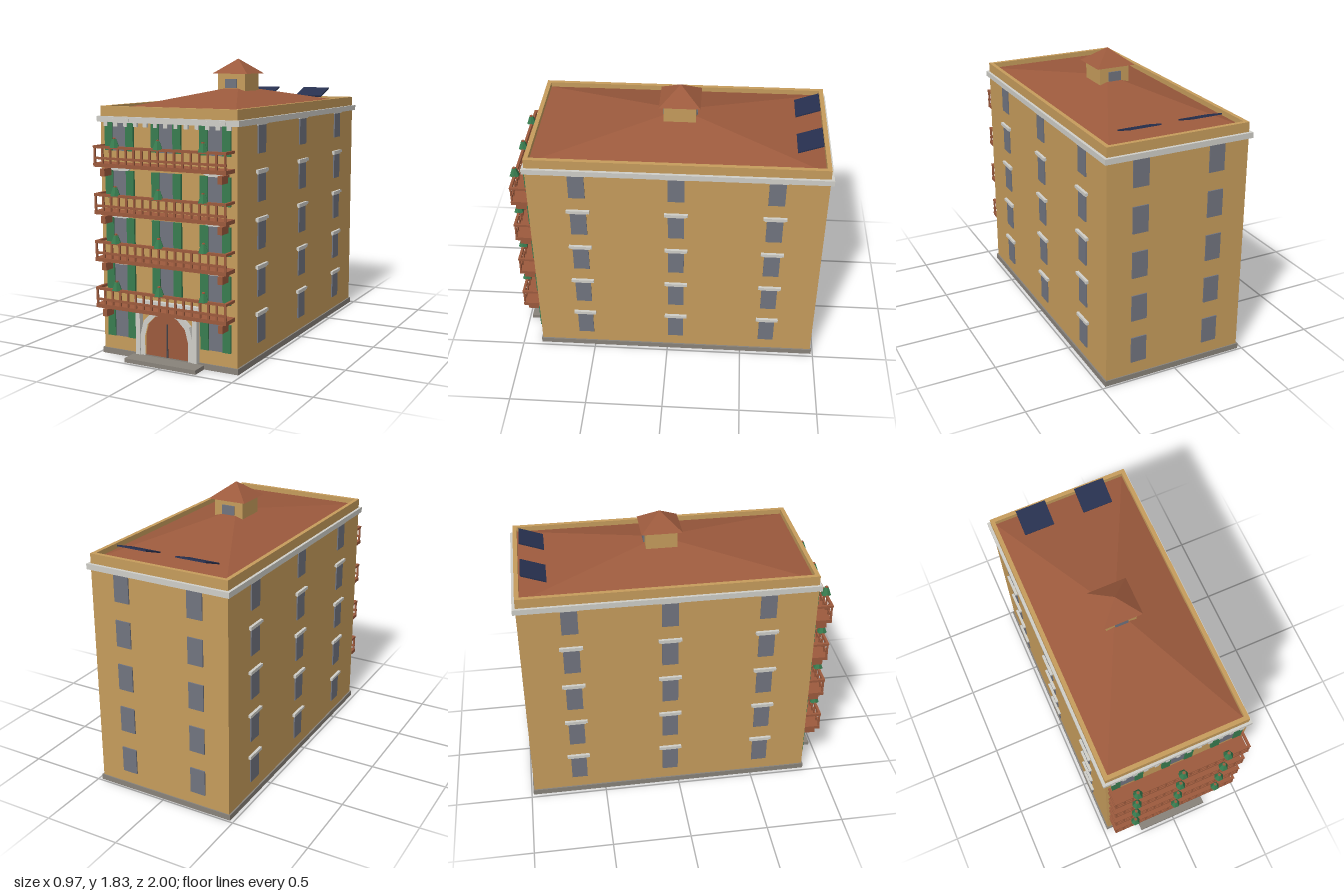
import * as THREE from 'three';

const mat = (name, color) => Object.assign(new THREE.MeshStandardMaterial({ color }), { name });

export function createModel() {
  const wall = mat('ochre wall', 0xc69c5c);
  const terracotta = mat('terracotta', 0x9c5a3d);
  const trim = mat('pale stone', 0xcfcec8);
  const glass = mat('window glass', 0x71747f);
  const green = mat('green', 0x387d50);
  const stone = mat('grey plinth', 0x88827a);
  const navy = mat('solar navy', 0x27304f);
  const dark = mat('dark seam', 0x4a4a50);

  const ZC = -0.057, HX = 0.466, HZ = 0.923;      // body centre and half sizes
  const FRONT = ZC + HZ, BACK = ZC - HZ;
  const FLOOR = 0.289, FLOORS = 5, SILL = 0.12, WIN_H = 0.17;
  const building = new THREE.Group();
  building.name = 'building';

  const add = (parent, name, geo, material, x = 0, y = 0, z = 0) => {
    const m = new THREE.Mesh(geo, material);
    m.name = name;
    m.position.set(x, y, z);
    parent.add(m);
    return m;
  };
  // box given by its bounds
  const box = (parent, name, material, x0, x1, y0, y1, z0, z1) =>
    add(parent, name, new THREE.BoxGeometry(x1 - x0, y1 - y0, z1 - z0), material,
      (x0 + x1) / 2, (y0 + y1) / 2, (z0 + z1) / 2);
  const group = (name, parent = building) => {
    const g = new THREE.Group();
    g.name = name;
    parent.add(g);
    return g;
  };
  const facet = (geo) => {
    const g = geo.toNonIndexed();
    g.computeVertexNormals();
    return g;
  };
  // four-sided pyramid standing on y = 0
  const pyramid = (hx, hz, h) => facet(new THREE.ConeGeometry(Math.SQRT2, h, 4)
    .rotateY(Math.PI / 4).scale(hx, 1, hz).translate(0, h / 2, 0));

  // main masses
  box(building, 'plinth', stone, -0.476, 0.476, 0, 0.036, BACK - 0.008, FRONT + 0.008);
  box(building, 'entranceStep', stone, -0.248, 0.248, 0, 0.026, FRONT, 0.98);
  box(building, 'body', wall, -HX, HX, 0.036, 1.49, BACK, FRONT);
  box(building, 'cornice', trim, -0.484, 0.484, 1.45, 1.485, -1.0, FRONT + 0.016);

  // parapet ring
  const rect = (C, hx, hz) => new C([[-hx, -hz], [hx, -hz], [hx, hz], [-hx, hz]]
    .map(([x, y]) => new THREE.Vector2(x, y)));
  const ring = rect(THREE.Shape, HX, HZ);
  ring.holes.push(rect(THREE.Path, 0.44, 0.896));
  add(building, 'parapet', new THREE.ExtrudeGeometry(ring, { depth: 0.062, bevelEnabled: false })
    .rotateX(-Math.PI / 2), wall, 0, 1.484, ZC);

  // roof and lantern
  add(building, 'roof', pyramid(0.441, 0.897, 0.133), terracotta, 0, 1.513, ZC);
  const lantern = group('lantern');
  box(lantern, 'lanternWalls', wall, -0.1, 0.1, 1.55, 1.732, ZC - 0.1, ZC + 0.1);
  for (const s of [-1, 1])
    add(lantern, 'lanternWindow', new THREE.BoxGeometry(0.084, 0.06, 0.009), glass, 0, 1.664, ZC + s * 0.104);
  add(lantern, 'lanternRoof', pyramid(0.128, 0.128, 0.098), terracotta, 0, 1.728, ZC);

  // tilted solar panels
  for (const x of [-0.2, 0.2])
    add(building, 'solarPanel', new THREE.BoxGeometry(0.198, 0.009, 0.162), navy, x, 1.581, -0.86).rotation.x = 0.346;

  // windows on every floor: a plate facing +z, turned to its wall
  const lintel = (parent) => {
    add(parent, 'lintelTop', new THREE.BoxGeometry(0.146, 0.018, 0.036), trim, 0, 0.185, 0);
    add(parent, 'lintelBase', new THREE.BoxGeometry(0.124, 0.01, 0.024), trim, 0, 0.172, 0);
  };
  const addWindow = (name, x, y, z, turn, withLintel, withShutters) => {
    const g = group(name);
    g.position.set(x, y, z);
    g.rotation.y = turn;
    add(g, 'pane', new THREE.BoxGeometry(0.102, WIN_H, 0.009), glass, 0, WIN_H / 2, 0.0035);
    if (withLintel) lintel(g);
    if (withShutters)
      for (const s of [-1, 1])
        add(g, 'shutter', new THREE.BoxGeometry(0.054, WIN_H, 0.016), green, s * 0.074, WIN_H / 2, 0.007);
  };
  for (let f = 0; f < FLOORS; f++) {
    const y = SILL + f * FLOOR;
    for (const s of [-1, 1]) {
      for (const dz of [-0.612, 0, 0.612])
        addWindow('sideWindow', s * HX, y, ZC + dz, s * Math.PI / 2, true, false);
      addWindow('backWindow', s * 0.25, y, BACK, Math.PI, false, false);
      addWindow('frontWindow', s * 0.328, y + 0.004, FRONT, 0, true, true);
    }
    if (f > 0) addWindow('frontWindow', 0, y + 0.004, FRONT, 0, false, true);
  }

  // blocks under the front cornice
  for (let i = -6; i <= 6; i++)
    box(building, 'corniceBlock', trim, i * 0.07 - 0.013, i * 0.07 + 0.013, 1.426, 1.452, FRONT - 0.01, FRONT + 0.018);

  // arched entrance
  const entrance = group('entrance');
  const arch = (C, r) => {
    const p = new C();
    p.moveTo(-r, 0.036);
    for (let i = 0; i <= 6; i++) {
      const a = Math.PI * (1 - i / 6);
      p.lineTo(r * Math.cos(a), 0.158 + r * Math.sin(a));
    }
    p.lineTo(r, 0.036);
    p.closePath();
    return p;
  };
  const surround = arch(THREE.Shape, 0.184);
  surround.holes.push(arch(THREE.Path, 0.15));
  const extrude = (shape, depth) => new THREE.ExtrudeGeometry(shape, { depth, bevelEnabled: false });
  add(entrance, 'archSurround', extrude(surround, 0.03), trim, 0, 0, FRONT);
  add(entrance, 'door', extrude(arch(THREE.Shape, 0.152), 0.014), terracotta, 0, 0, FRONT);
  box(entrance, 'doorSeam', dark, -0.004, 0.004, 0.036, 0.245, FRONT + 0.012, FRONT + 0.02);
  for (const s of [-1, 1])
    box(entrance, 'pilaster', trim, s * 0.198 - 0.015, s * 0.198 + 0.015, 0.036, 0.335, FRONT - 0.005, FRONT + 0.036);
  box(entrance, 'entablature', trim, -0.225, 0.225, 0.335, 0.378, FRONT - 0.005, FRONT + 0.03);

  // balconies with railings, brackets and plants
  const balcony = (y) => {
    const g = group('balcony');
    g.position.y = y;
    const zr = 0.968;
    box(g, 'slab', terracotta, -0.45, 0.45, 0, 0.023, FRONT - 0.005, 0.975);
    box(g, 'topRail', terracotta, -0.45, 0.45, 0.112, 0.128, zr - 0.008, zr + 0.008);
    box(g, 'lowerRail', terracotta, -0.45, 0.45, 0.046, 0.06, zr - 0.005, zr + 0.005);
    for (let i = -8; i <= 8; i++) {
      const x = i * 0.0552;
      box(g, 'baluster', terracotta, x - 0.006, x + 0.006, 0.02, 0.115, zr - 0.005, zr + 0.005);
    }
    for (const s of [-1, 1]) {
      box(g, 'sideRail', terracotta, s * 0.442 - 0.008, s * 0.442 + 0.008, 0.112, 0.128, FRONT - 0.005, zr);
      box(g, 'bracket', terracotta, s * 0.4 - 0.015, s * 0.4 + 0.015, -0.058, -0.012, FRONT - 0.005, 0.955);
    }
    for (const x of [-0.3, 0, 0.3]) {
      add(g, 'plant', facet(new THREE.CylinderGeometry(0.014, 0.033, 0.05, 6).rotateY(Math.PI / 6)), green, x, 0.147, 0.969);
      add(g, 'plantTip', facet(new THREE.CylinderGeometry(0.01, 0.01, 0.008, 6).rotateY(Math.PI / 6)), terracotta, x, 0.175, 0.969);
    }
  };
  for (let f = 0; f < FLOORS - 1; f++) balcony(0.32 + f * FLOOR);

  return building;
}
